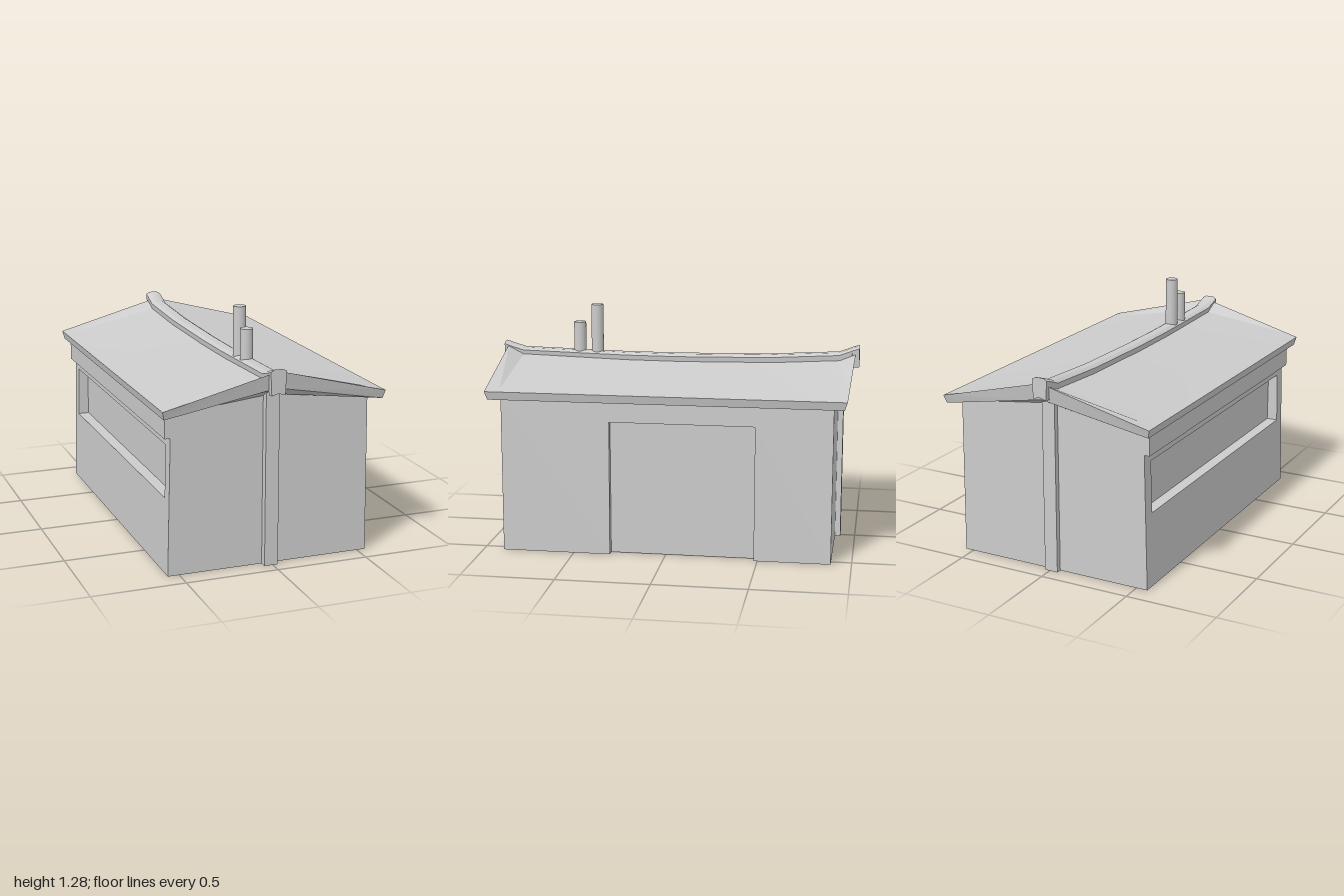
import * as THREE from 'three';
import { toCreasedNormals } from 'three/addons/utils/BufferGeometryUtils.js';

const material = new THREE.MeshStandardMaterial({ color: 0xcccccc });

// Joins closed cross-sections (counter-clockwise seen from +z, ordered by rising z) and closes both ends
function loft(sections, crease) {
  const n = sections[0].length;
  const index = [];
  for (let s = 0; s < sections.length - 1; s++) {
    for (let i = 0; i < n; i++) {
      const a = s * n + i, b = s * n + (i + 1) % n;
      index.push(a, b, b + n, a, b + n, a + n);
    }
  }
  const end = (sections.length - 1) * n;
  const outline = sections[0].map(p => new THREE.Vector2(p[0], p[1]));
  for (const [a, b, c] of THREE.ShapeUtils.triangulateShape(outline, [])) {
    index.push(a, c, b, end + a, end + b, end + c);
  }
  const geometry = new THREE.BufferGeometry();
  geometry.setAttribute('position', new THREE.Float32BufferAttribute(sections.flat(2), 3));
  geometry.setIndex(index);
  return toCreasedNormals(geometry, crease);
}

const polygon = points => points.map(([x, y]) => new THREE.Vector2(x, y));

// Side wall drawn in (-z, y), thickened between two x values; the outer face leans inward with height
function sidePanel(shape, inner, outer, lean) {
  const geometry = new THREE.ExtrudeGeometry(shape, { depth: Math.abs(outer - inner), bevelEnabled: false });
  geometry.rotateY(Math.PI / 2).translate(Math.min(inner, outer), 0, 0);
  const p = geometry.attributes.position;
  for (let i = 0; i < p.count; i++) {
    if (Math.abs(p.getX(i) - outer) < 1e-4) p.setX(i, outer - Math.sign(outer) * lean * p.getY(i));
  }
  geometry.computeVertexNormals();
  return geometry;
}

export function createModel() {
  const group = new THREE.Group();
  const add = (name, geometry, x = 0, y = 0, z = 0) => {
    const mesh = new THREE.Mesh(geometry, material);
    mesh.name = name;
    mesh.position.set(x, y, z);
    group.add(mesh);
  };

  // Gabled core, set in behind the side panels
  const gable = new THREE.Shape(polygon([[-0.49, 0], [0.505, 0], [0.505, 0.86], [0, 0.95], [-0.49, 0.86]]));
  add('gableBody', new THREE.ExtrudeGeometry(gable, { depth: 1.78, bevelEnabled: false }), 0, 0, -0.89);

  // Left-hand wall with a doorway recess open to the ground
  const doorWall = new THREE.Shape(polygon([
    [-0.89, 0], [-0.3, 0], [-0.3, 0.73], [0.48, 0.73], [0.48, 0], [0.89, 0], [0.89, 0.86], [-0.89, 0.86]]));
  add('doorWall', sidePanel(doorWall, 0.505, 0.547, 0.013));

  // Right-hand wall with a long window recess, and the beam over it
  const windowWall = new THREE.Shape(polygon([[-0.89, 0], [0.89, 0], [0.89, 0.74], [-0.89, 0.74]]));
  windowWall.holes.push(new THREE.Path(polygon([[-0.82, 0.4], [-0.82, 0.68], [0.82, 0.68], [0.82, 0.4]])));
  add('windowWall', sidePanel(windowWall, -0.49, -0.562, 0.026));
  add('windowBeam', new THREE.BoxGeometry(0.085, 0.125, 1.78), -0.53, 0.7925, 0);

  // Gable posts
  add('frontPost', new THREE.BoxGeometry(0.074, 0.955, 0.08), -0.01, 0.4775, 0.89);
  add('backPost', new THREE.BoxGeometry(0.074, 0.955, 0.08), -0.01, 0.4775, -0.88);

  // Sagging roof with flared gable ends: [z, ridge height]
  const roofStations = [[-0.98, 1.048], [-0.89, 1.01], [-0.5, 0.988], [0, 0.98], [0.3, 0.982], [0.89, 1.0], [0.98, 1.048]];
  add('roof', loft(roofStations.map(([z, ridge], i) => {
    const isEnd = i === 0 || i === roofStations.length - 1;
    const s = isEnd ? Math.sign(z) : 0;
    const inset = isEnd ? 0.904 : 0.897;
    const under = ridge - 0.09;
    return [
      [-0.605, 0.89, z - s * 0.02], [-0.594, 0.845, z - s * 0.034],
      [0, under, z - s * 0.014], [0.594, 0.845, z - s * 0.034],
      [0.605, 0.89, z - s * 0.02], [0.55, inset, z - s * 0.018],
      [0, ridge, z], [-0.55, inset, z - s * 0.018]];
  }), 0.2));

  // Ridge cap with drop ends: [z, top, bottom]
  const capStations = [
    [-1, 1.085, 0.97], [-0.962, 1.073, 0.965], [-0.96, 1.072, 0.985], [-0.89, 1.045, 0.97],
    [-0.5, 1.023, 0.95], [0, 1.015, 0.95], [0.3, 1.016, 0.95], [0.89, 1.03, 0.97],
    [0.96, 1.05, 0.985], [0.962, 1.051, 0.925], [1, 1.064, 0.928]];
  add('ridgeCap', loft(capStations.map(([z, top, bottom]) => [
    [-0.053, top - 0.012, z], [-0.047, bottom, z], [-0.01, bottom + 0.01, z], [0.027, bottom, z],
    [0.033, top - 0.012, z], [0.012, top, z], [-0.032, top, z]]), 0.5));

  // Two stove pipes
  for (const [name, z, top] of [['tallPipe', 0.47, 1.282], ['shortPipe', 0.57, 1.182]]) {
    const height = top - 0.97;
    add(name, new THREE.CylinderGeometry(0.034, 0.034, height, 24), -0.012, 0.97 + height / 2, z);
  }
  return group;
}
